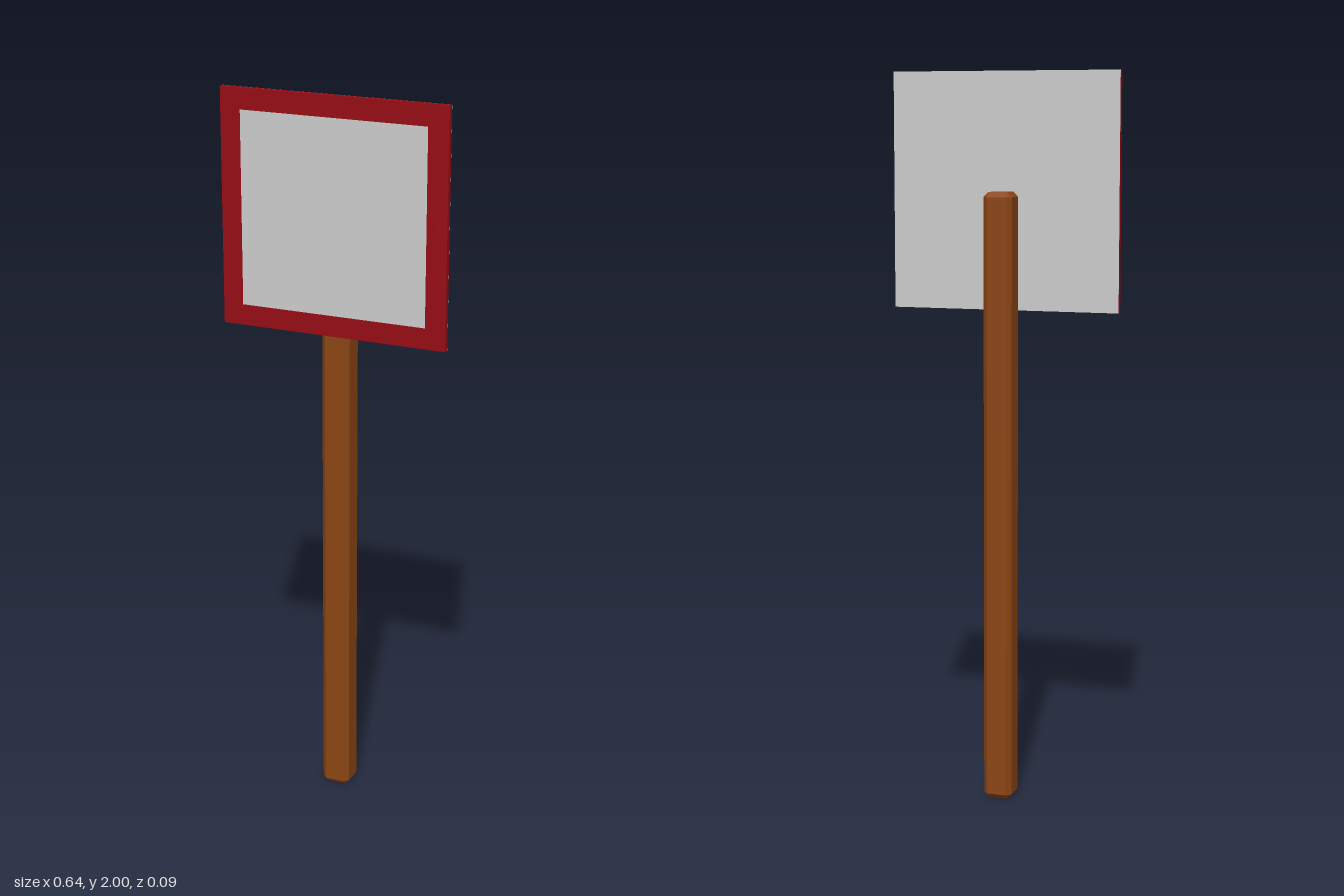
import * as THREE from 'three';
import { ConvexGeometry } from 'three/addons/geometries/ConvexGeometry.js';

const SIZE = 0.64, BORDER = 0.057, BACK = 0.028, DEPTH = 0.016, CENTRE_Y = 1.68;

// Box with every edge and corner cut by a flat bevel
function chamferedBox(w, h, d, bevel) {
  const half = [w / 2, h / 2, d / 2];
  const points = [];
  for (const sx of [-1, 1]) for (const sy of [-1, 1]) for (const sz of [-1, 1]) {
    for (let full = 0; full < 3; full++) {
      const p = half.map((v, i) => (i === full ? v : v - bevel));
      points.push(new THREE.Vector3(sx * p[0], sy * p[1], sz * p[2]));
    }
  }
  return new ConvexGeometry(points);
}

function square(Type, size) {
  const s = size / 2;
  return new Type([[-s, -s], [s, -s], [s, s], [-s, s]].map(([x, y]) => new THREE.Vector2(x, y)));
}

export function createModel() {
  const group = new THREE.Group();
  const wood = new THREE.MeshStandardMaterial({ color: 0x8b4513, flatShading: true });
  const red = new THREE.MeshStandardMaterial({ color: 0x960c14 });
  const grey = new THREE.MeshStandardMaterial({ color: 0xcccccc });

  const add = (name, geometry, material, y, z) => {
    const mesh = new THREE.Mesh(geometry, material);
    mesh.name = name;
    mesh.position.set(0, y, z);
    group.add(mesh);
    return mesh;
  };

  // Wooden post, slightly sunk into the back of the sign
  add('post', chamferedBox(0.08, 1.68, 0.08, 0.0135), wood, 0.84, -0.006);

  // Red border around the sign face
  const inner = SIZE - 2 * BORDER;
  const border = square(THREE.Shape, SIZE);
  border.holes.push(square(THREE.Path, inner));
  const skin = 0.0005;
  add('signBorder', new THREE.ExtrudeGeometry(border, { depth: DEPTH - skin, bevelEnabled: false }),
    red, CENTRE_Y, BACK + skin);

  // Grey face filling the border, and grey sheet covering the whole back
  add('signFace', new THREE.BoxGeometry(inner, inner, DEPTH - skin), grey, CENTRE_Y, BACK + (DEPTH + skin) / 2);
  add('signBack', new THREE.BoxGeometry(SIZE, SIZE, skin), grey, CENTRE_Y, BACK + skin / 2);

  return group;
}
